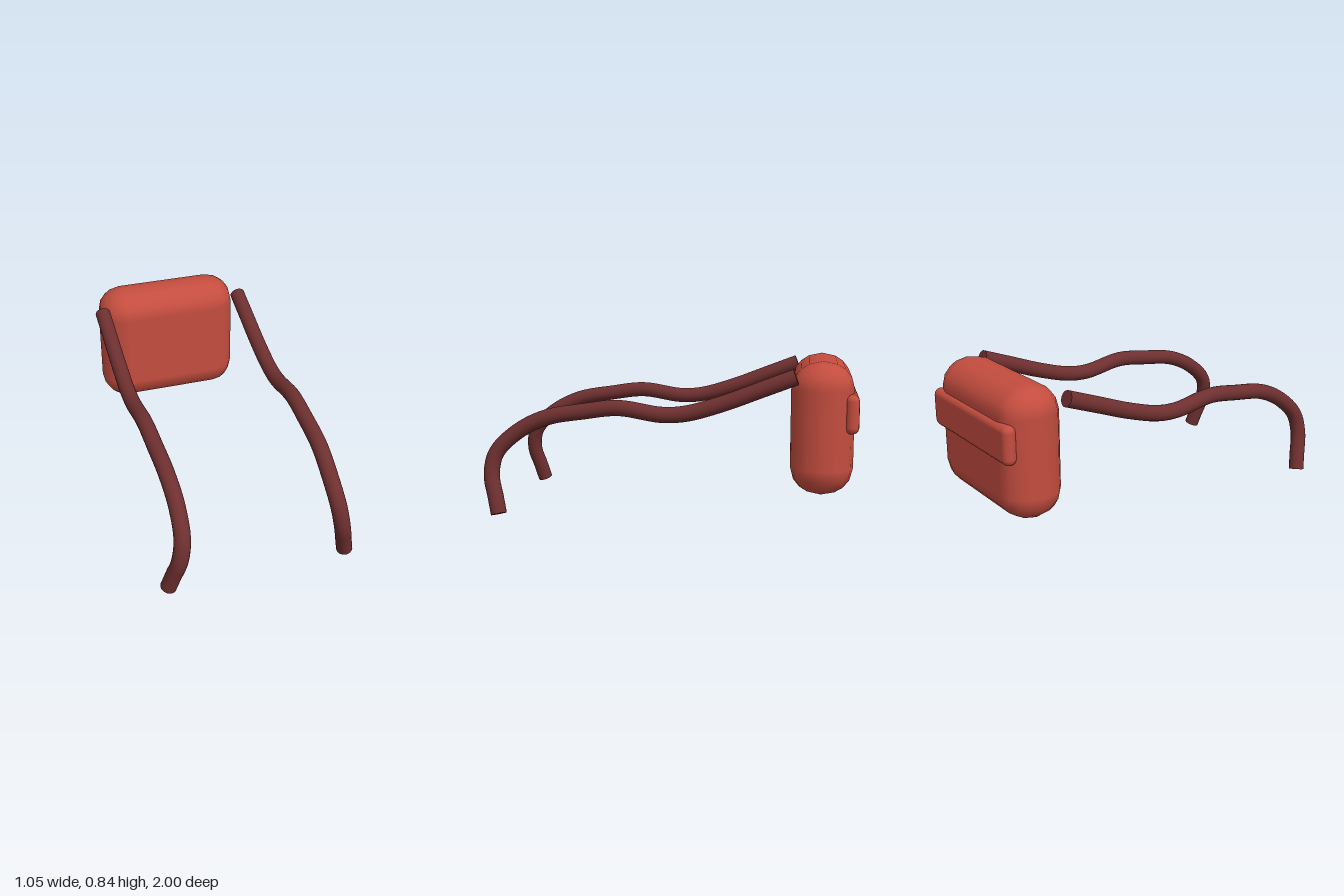
import * as THREE from 'three';
import { RoundedBoxGeometry } from 'three/addons/geometries/RoundedBoxGeometry.js';

const RADIUS = 0.043;

// Rounded block whose depth is stretched after rounding
function block(name, material, [w, h, d], r, stretch, [x, y, z]) {
  const geometry = new RoundedBoxGeometry(w, h, d / stretch, 2, r);
  geometry.scale(1, 1, stretch);
  const mesh = new THREE.Mesh(geometry, material);
  mesh.name = name;
  mesh.position.set(x, y, z);
  return mesh;
}

// Bent rod with closed ends; side is +1 for left, -1 for right
function rod(side, material) {
  const path = [
    [0.422, 0.765, -0.67], [0.422, 0.7, -0.5], [0.422, 0.62, -0.29], [0.422, 0.565, -0.1],
    [0.421, 0.556, 0.03], [0.42, 0.588, 0.26], [0.417, 0.566, 0.45],
    [0.412, 0.527, 0.66], [0.408, 0.445, 0.82], [0.416, 0.33, 0.935],
    [0.436, 0.21, 0.957], [0.463, 0.1, 0.93], [0.485, 0.01, 0.908],
  ].map(([x, y, z]) => new THREE.Vector3(side * x, y, z));
  const curve = new THREE.CatmullRomCurve3(path);
  const group = new THREE.Group();
  group.name = side > 0 ? 'leftArm' : 'rightArm';

  const tube = new THREE.Mesh(new THREE.TubeGeometry(curve, 72, RADIUS, 20), material);
  tube.name = 'armTube';
  group.add(tube);

  for (const t of [0, 1]) {
    const cap = new THREE.Mesh(new THREE.CircleGeometry(RADIUS, 20), material);
    const outward = curve.getTangentAt(t).multiplyScalar(t ? 1 : -1);
    cap.name = t ? 'frontCap' : 'rearCap';
    cap.position.copy(curve.getPointAt(t));
    cap.quaternion.setFromUnitVectors(new THREE.Vector3(0, 0, 1), outward);
    group.add(cap);
  }
  return group;
}

export function createModel() {
  const red = new THREE.MeshStandardMaterial({ color: 0xc44d3f });
  red.name = 'red';
  const darkRed = new THREE.MeshStandardMaterial({ color: 0x6e2f2f });
  darkRed.name = 'dark red';

  const model = new THREE.Group();
  model.name = 'model';

  // Main padded body and the strip across its back
  model.add(block('body', red, [0.838, 0.717, 0.334], 0.149, 1.115, [0, 0.4765, -0.81]));
  model.add(block('backStrip', red, [0.772, 0.21, 0.075], 0.037, 1, [0, 0.565, -0.9625]));

  // Pair of curved arms
  for (const side of [1, -1]) model.add(rod(side, darkRed));
  return model;
}
